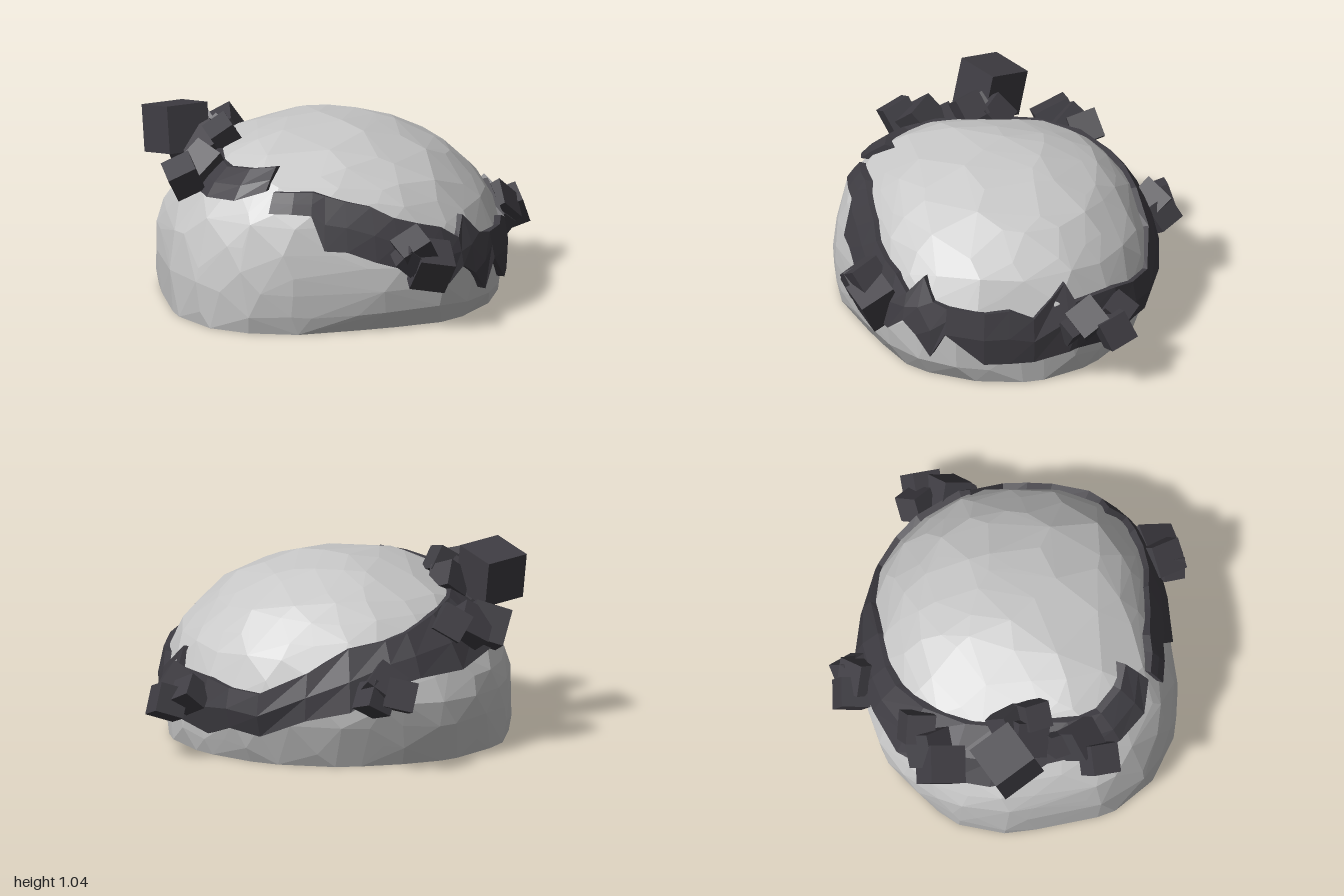
import * as THREE from 'three';
import { ConvexGeometry } from 'three/addons/geometries/ConvexGeometry.js';

// Plan outline: radius every 20 degrees, from +x towards +z
const OUTLINE = [0.93, 0.975, 0.96, 0.885, 0.86, 0.95, 0.995, 0.965, 0.90,
  0.925, 0.915, 0.88, 0.815, 0.785, 0.79, 0.83, 0.88, 0.92];
// Side profile: height, scale of the outline
const PROFILE = [[0, 0.98], [0.15, 0.995], [0.3, 1], [0.45, 0.96], [0.6, 0.87],
  [0.75, 0.715], [0.85, 0.54], [0.93, 0.31], [0.965, 0.15], [0.98, 0]];

let seed = 7;
const rand = () => {
  seed = (seed * 16807) % 2147483647;
  return seed / 2147483647 - 0.5;
};

function outlineAt(deg) {
  const t = (((deg % 360) + 360) % 360) / 20;
  const i = Math.floor(t) % 18;
  return THREE.MathUtils.lerp(OUTLINE[i], OUTLINE[(i + 1) % 18], t - Math.floor(t));
}

function profileAt(y) {
  for (let i = 1; i < PROFILE.length; i++) {
    const [y0, s0] = PROFILE[i - 1], [y1, s1] = PROFILE[i];
    if (y <= y1) return THREE.MathUtils.lerp(s0, s1, (y - y0) / (y1 - y0));
  }
  return 0;
}

// Point on the boulder's surface, moved outwards by off
function surface(deg, y, off = 0) {
  const a = THREE.MathUtils.degToRad(deg);
  const front = Math.max(0, Math.sin(a)), back = Math.max(0, -Math.sin(a));
  // The front shoulder is fuller than the sides, the back slightly so
  const scale = Math.pow(profileAt(y), 1 - 0.42 * front - 0.12 * back);
  // The foot is cut in at the back and at the front left corner
  const corner = Math.max(0, Math.cos(a - 0.9)) ** 4;
  const undercut = 0.11 * back * Math.max(0, 1 - y / 0.3)
    + 0.09 * corner * Math.max(0, 1 - y / 0.13);
  const r = outlineAt(deg) * (scale - undercut) + off;
  return new THREE.Vector3(r * Math.cos(a), y, r * Math.sin(a));
}

function boulderGeometry() {
  const points = [new THREE.Vector3(-0.05, 0.98, 0.02)];
  const rows = [0, 0.1, 0.22, 0.34, 0.46, 0.57, 0.67, 0.76, 0.83, 0.89, 0.935, 0.965];
  rows.forEach((y, row) => {
    const count = Math.max(5, Math.round(profileAt(y) * 28));
    for (let i = 0; i < count; i++) {
      const deg = ((i + row * 0.5 + rand() * 0.7) / count) * 360;
      const h = row === 0 ? 0 : Math.min(0.975, y + rand() * 0.05);
      points.push(surface(deg, h, rand() * 0.022 + 0.004));
    }
  });
  return new ConvexGeometry(points);
}

// Ragged band: angle, lower edge, upper edge
const BAND = [
  [103, 0.66, 0.76], [95, 0.66, 0.76], [88, 0.65, 0.76], [83, 0.47, 0.74],
  [75, 0.46, 0.71], [65, 0.40, 0.68], [57, 0.36, 0.62], [48, 0.28, 0.58],
  [41, 0.25, 0.55], [35, 0.33, 0.48], [30, 0.27, 0.58], [25, 0.16, 0.47],
  [20, 0.31, 0.45], [8, 0.14, 0.43], [0, 0.14, 0.44], [-8, 0.14, 0.39],
  [-20, 0.17, 0.55], [-23, 0.18, 0.45], [-40, 0.14, 0.45], [-50, 0.20, 0.42],
  [-62, 0.17, 0.41], [-80, 0.28, 0.53], [-97, 0.33, 0.65], [-114, 0.46, 0.68],
  [-125, 0.49, 0.71], [-143, 0.50, 0.77], [-165, 0.55, 0.80], [-180, 0.57, 0.81],
  [-192, 0.61, 0.82], [-202, 0.67, 0.83], [-215, 0.69, 0.83], [-230, 0.68, 0.82],
  [-243, 0.70, 0.84], [-254, 0.76, 0.86],
];

function bandGeometry() {
  const T = 0.035;
  // Closed cross-sections: up the outside, then down the buried inside
  const sections = BAND.map(([deg, lo, hi]) => [
    surface(deg, lo, T), surface(deg, (lo + hi) / 2, T), surface(deg, hi, T),
    surface(deg, hi - 0.01, -0.05), surface(deg, lo, -0.05),
  ]);
  const pos = [];
  const tri = (...corners) => corners.forEach((v) => pos.push(v.x, v.y, v.z));
  for (let i = 0; i + 1 < sections.length; i++) {
    const s = sections[i], n = sections[i + 1];
    for (let j = 0; j < 5; j++) {
      const k = (j + 1) % 5;
      tri(s[j], n[j], n[k]);
      tri(s[j], n[k], s[k]);
    }
  }
  // End caps
  const first = sections[0], last = sections[sections.length - 1];
  for (let j = 1; j < 4; j++) {
    tri(first[0], first[j], first[j + 1]);
    tri(last[0], last[j + 1], last[j]);
  }
  const g = new THREE.BufferGeometry();
  g.setAttribute('position', new THREE.Float32BufferAttribute(pos, 3));
  g.computeVertexNormals();
  return g;
}

// Stone clusters: each stone is x, y, z, size, then its turn about x, y, z
const CLUSTERS = {
  shoulderStones: [
    [-0.81, 0.88, 0.085, 0.255, -0.27, 0.7, 0.12],
    [-0.63, 0.79, 0.16, 0.19, 0.5, 0.3, 0.5],
    [-0.54, 0.89, 0.20, 0.14, 0.3, 0.5, 0.45],
    [-0.58, 0.83, 0.07, 0.15, 0.6, 0.9, 0.2],
  ],
  rightSideStones: [
    [-0.80, 0.68, -0.27, 0.20, 0.4, 0.25, 0.25],
    [-0.62, 0.73, -0.42, 0.16, 0.3, 0.2, 0.5],
    [-0.71, 0.69, -0.34, 0.18, 0.7, 0.6, 0.2],
  ],
  frontRightStones: [
    [-0.70, 0.76, 0.57, 0.16, 0.4, 0.4, 0.3],
    [-0.61, 0.79, 0.45, 0.17, 0.5, 0.9, 0.3],
    [-0.64, 0.78, 0.35, 0.12, 0.2, 0.5, 0.6],
  ],
  frontLeftStones: [
    [0.65, 0.37, 0.71, 0.20, 0.5, 0.3, -0.4],
    [0.58, 0.46, 0.76, 0.17, 0.4, 0.6, 0.3],
    [0.55, 0.43, 0.81, 0.12, 0.3, 0.4, 0.7],
  ],
  backLeftStones: [
    [0.89, 0.31, -0.56, 0.16, 0.4, 0.4, 0.2],
    [0.77, 0.36, -0.58, 0.14, 0.7, 0.8, 0.3],
    [0.85, 0.36, -0.42, 0.17, 0.6, 0.3, 0.5],
    [0.87, 0.30, -0.33, 0.11, 0.3, 0.7, 0.7],
  ],
  backStones: [
    [-0.36, 0.43, -0.80, 0.16, 0.3, 0.2, 0.2],
    [-0.23, 0.41, -0.81, 0.15, 0.4, 0.7, 0.3],
    [-0.27, 0.47, -0.76, 0.17, 0.7, 0.4, 0.5],
  ],
};

export function createModel() {
  const rock = new THREE.MeshStandardMaterial({ color: 0xc8c8c8 });
  rock.name = 'pale rock';
  const dark = new THREE.MeshStandardMaterial({ color: 0x3f3d43 });
  dark.name = 'dark stone';

  const model = new THREE.Group();
  model.name = 'bandedBoulder';
  const add = (parent, name, geometry, material) => {
    const mesh = new THREE.Mesh(geometry, material);
    mesh.name = name;
    parent.add(mesh);
    return mesh;
  };

  add(model, 'boulder', boulderGeometry(), rock);
  add(model, 'stoneBand', bandGeometry(), dark);

  // Tilted cubes gathered along the band
  const cube = new THREE.BoxGeometry(1, 1, 1);
  for (const [name, stones] of Object.entries(CLUSTERS)) {
    const cluster = new THREE.Group();
    cluster.name = name;
    for (const [x, y, z, size, rx, ry, rz] of stones) {
      const stone = add(cluster, 'stone', cube, dark);
      stone.position.set(x, y, z);
      stone.rotation.set(rx, ry, rz);
      stone.scale.setScalar(size);
    }
    model.add(cluster);
  }
  return model;
}
